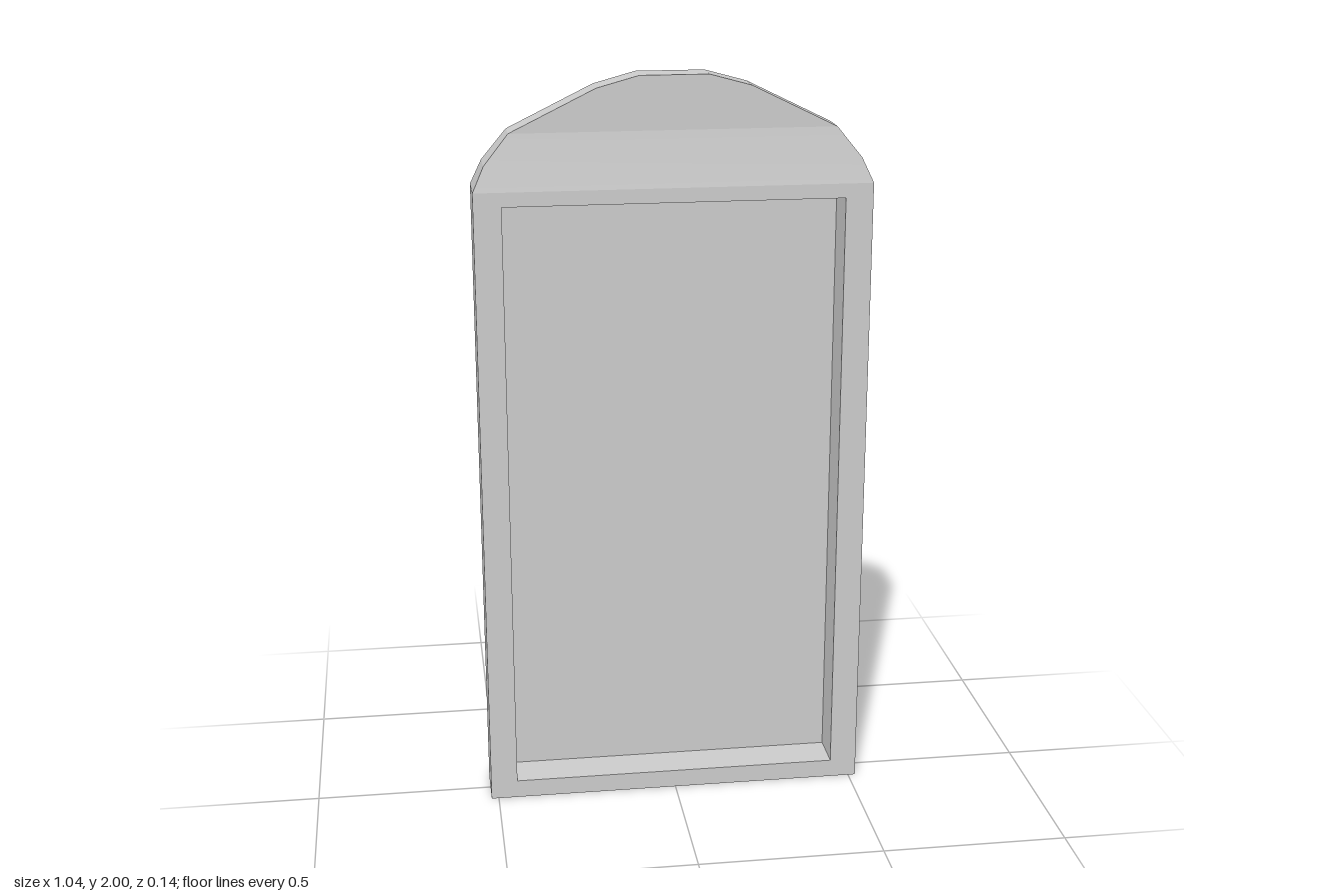
import * as THREE from 'three';

const flat = new THREE.MeshStandardMaterial({ color: 0xcccccc, side: THREE.DoubleSide, flatShading: true });
const smooth = new THREE.MeshStandardMaterial({ color: 0xcccccc, side: THREE.DoubleSide });

// Right half of the outline, bottom to top: x, y, half depth
const half = [
  [0.52, 0, 0.068], [0.52, 1.715, 0.068], [0.49, 1.78, 0.055],
  [0.425, 1.86, 0.043], [0.2, 1.97, 0.043], [0.09, 2, 0.043],
];
const flip = ([x, y, z]) => [-x, y, z];

// Recessed opening
const hole = { x: 0.447, y0: 0.05, y1: 1.677, z: -0.044 };

// Sheet of quads between two rows of points
function ribbon(a, b) {
  const n = a.length, index = [];
  for (let i = 0; i < n - 1; i++) index.push(i, n + i, i + 1, n + i, n + i + 1, i + 1);
  const g = new THREE.BufferGeometry();
  g.setAttribute('position', new THREE.Float32BufferAttribute([...a, ...b].flat(), 3));
  g.setIndex(index);
  g.computeVertexNormals();
  return g;
}

export function createModel() {
  const group = new THREE.Group();
  const add = (name, geometry, material = flat) => {
    const mesh = new THREE.Mesh(geometry, material);
    mesh.name = name;
    group.add(mesh);
    return mesh;
  };

  // Outer rim: sides, arch and floor in one closed band, open at the back
  const outline = [...half, ...half.map(flip).reverse(), half[0]];
  add('rim', ribbon(outline, outline.map(([x, y, z]) => [x, y, -z])));

  // Flat front frame around the opening
  const corners = [[-hole.x, hole.y0], [-hole.x, hole.y1], [hole.x, hole.y1], [hole.x, hole.y0]];
  const [w, top, front] = half[1];
  const frame = new THREE.Shape([[-w, 0], [w, 0], [w, top], [-w, top]].map(p => new THREE.Vector2(...p)));
  frame.holes.push(new THREE.Path(corners.map(p => new THREE.Vector2(...p))));
  add('frontFrame', new THREE.ShapeGeometry(frame)).position.z = front;

  // Sloped shoulder and the thinner crown above it
  const shoulder = half.slice(1, 4), crown = half.slice(3);
  add('shoulder', ribbon(shoulder.map(flip), shoulder), smooth);
  add('crown', ribbon(crown.map(flip), crown));

  // Recess walls and the panel closing them
  const loop = [...corners, corners[0]];
  add('recessWalls', ribbon(loop.map(p => [...p, front]), loop.map(p => [...p, hole.z])));
  add('recessPanel', new THREE.PlaneGeometry(2 * hole.x, hole.y1 - hole.y0))
    .position.set(0, (hole.y0 + hole.y1) / 2, hole.z);

  return group;
}
